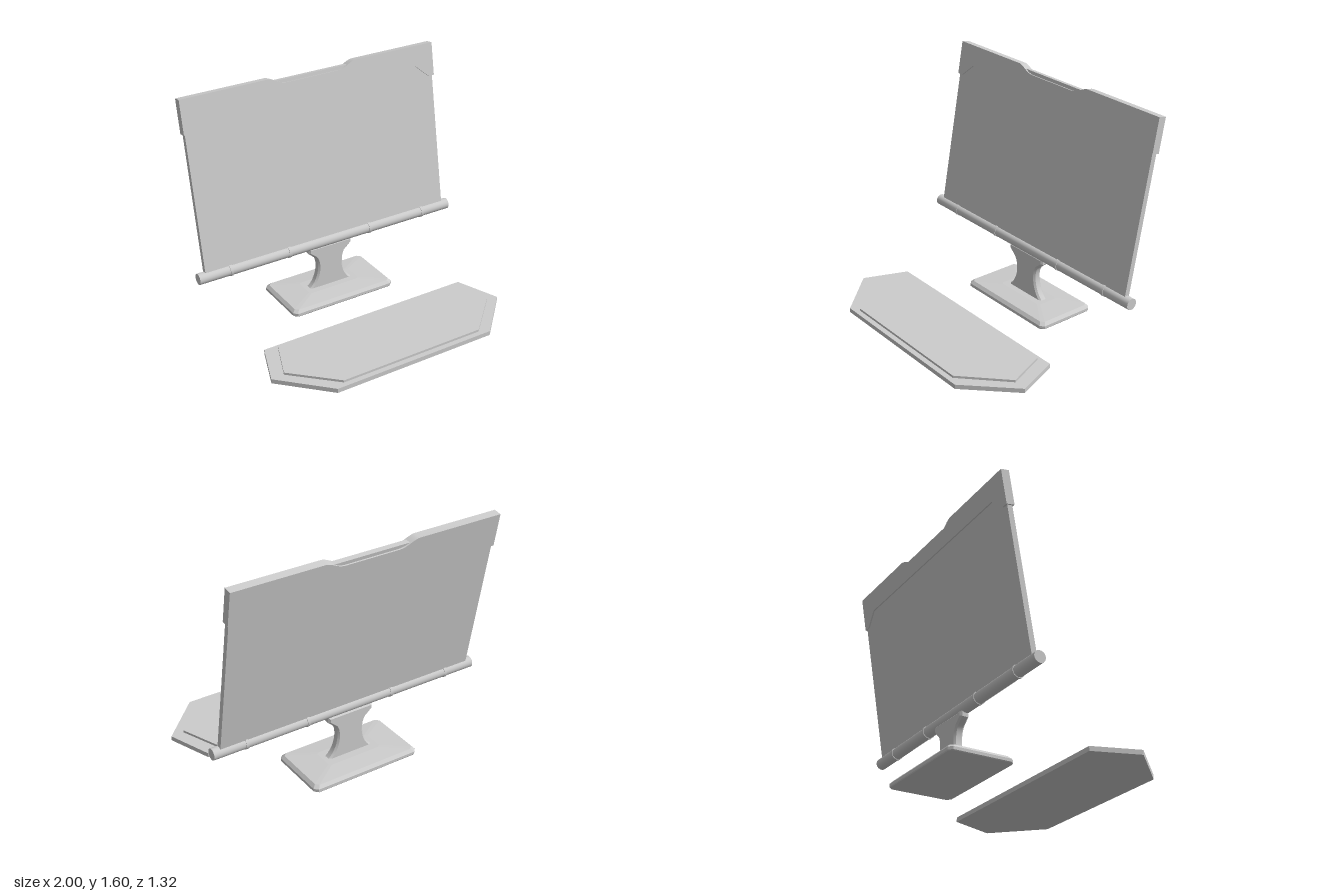
import * as THREE from 'three';
import { toCreasedNormals } from 'three/addons/utils/BufferGeometryUtils.js';

const grey = new THREE.MeshStandardMaterial({ color: 0xcccccc });

function add(parent, name, geometry, x = 0, y = 0, z = 0) {
  const mesh = new THREE.Mesh(geometry, grey);
  mesh.name = name;
  mesh.position.set(x, y, z);
  parent.add(mesh);
  return mesh;
}

// Closed solid through stacked rings; each ring is { y, points: [[x, z], ...] }, counter-clockwise from above
function loft(rings) {
  const pos = [];
  const at = (r, i) => {
    const [x, z] = r.points[i % r.points.length];
    return [x, r.y, z];
  };
  const n = rings[0].points.length;
  const bottom = rings[0], top = rings[rings.length - 1];
  for (let i = 0; i < n; i++) {
    for (let k = 0; k < rings.length - 1; k++) {
      const a = at(rings[k], i), b = at(rings[k], i + 1);
      const c = at(rings[k + 1], i + 1), d = at(rings[k + 1], i);
      pos.push(...a, ...b, ...c, ...a, ...c, ...d);
    }
    pos.push(0, top.y, 0, ...at(top, i), ...at(top, i + 1));
    pos.push(0, bottom.y, 0, ...at(bottom, i + 1), ...at(bottom, i));
  }
  const g = new THREE.BufferGeometry();
  g.setAttribute('position', new THREE.Float32BufferAttribute(pos, 3));
  g.computeVertexNormals();
  return g;
}

// Rectangle with cut corners
function cutRect(w, d, c) {
  return [[w, d - c], [w, c - d], [w - c, -d], [c - w, -d],
    [-w, c - d], [-w, d - c], [c - w, d], [w - c, d]];
}

// Six-sided pad outline, mirrored in x
function padOutline(back, side, front) {
  const half = [front, side, back];
  return [...half, ...half.map(([x, z]) => [-x, z]).reverse()];
}

// Prism centred on z, from a right-hand outline mirrored in x
function mirroredExtrude(half, depth, bevel = 0) {
  const pts = [...half, ...half.map((p) => new THREE.Vector2(-p.x, p.y)).reverse()];
  const g = new THREE.ExtrudeGeometry(new THREE.Shape(pts), {
    depth: depth - 2 * bevel, bevelEnabled: bevel > 0, bevelThickness: bevel,
    bevelSize: bevel, bevelOffset: -bevel, bevelSegments: 1,
  });
  g.translate(0, 0, bevel - depth / 2);
  return toCreasedNormals(g, 0.5);
}

const v = (x, y) => new THREE.Vector2(x, y);

export function createModel() {
  const model = new THREE.Group();
  model.name = 'displayWithControlPad';

  // Tilted screen, pivoting on the bar
  const screen = new THREE.Group();
  screen.name = 'screen';
  screen.position.set(0, 0.4, -0.428);
  screen.rotation.x = -0.172;
  model.add(screen);
  add(screen, 'screenPanel', new THREE.BoxGeometry(1.9, 1.19, 0.036), 0, 0.595, 0);

  // Top cap with lowered ends and a shallow central notch
  const notch = new THREE.CubicBezierCurve(v(0.33, 1.213), v(0.28, 1.205), v(0.25, 1.167), v(0.19, 1.167));
  const cap = [v(0.81, 1.07), v(0.915, 0.98), v(0.96, 0.98), v(0.96, 1.213), ...notch.getPoints(8)];
  add(screen, 'topCap', mirroredExtrude(cap, 0.056));

  // Round lower bar with thin joint rings
  const bar = add(model, 'lowerBar', new THREE.CylinderGeometry(0.039, 0.039, 2, 32), 0, 0.4, -0.428);
  bar.rotation.z = Math.PI / 2;
  for (const x of [-0.768, -0.322, 0.322, 0.768]) {
    const ring = add(model, 'barJoint', new THREE.CylinderGeometry(0.043, 0.043, 0.02, 32), x, 0.4, -0.428);
    ring.rotation.z = Math.PI / 2;
  }

  // Waisted neck
  const waist = new THREE.CubicBezierCurve(v(0.18, 0.045), v(0.08, 0.11), v(0.08, 0.27), v(0.13, 0.3));
  const neck = [...waist.getPoints(16), v(0.17, 0.335), v(0.17, 0.375)];
  add(model, 'neck', mirroredExtrude(neck, 0.06, 0.012), 0, 0, -0.435);

  // Foot with chamfered rim and gently rising top
  add(model, 'foot', loft([
    { y: 0, points: cutRect(0.395, 0.217, 0.025) },
    { y: 0.006, points: cutRect(0.4, 0.221, 0.025) },
    { y: 0.025, points: cutRect(0.4, 0.221, 0.025) },
    { y: 0.045, points: cutRect(0.38, 0.202, 0.022) },
    { y: 0.056, points: cutRect(0.2, 0.08, 0.015) },
  ]), 0, 0, -0.439);

  // Separate pad in front, with a raised inset plate
  const outer = padOutline([0.78, -0.305], [0.893, 0], [0.592, 0.308]);
  const inner = padOutline([0.695, -0.273], [0.803, 0], [0.525, 0.272]);
  add(model, 'padBase', loft([{ y: 0.008, points: outer }, { y: 0.039, points: outer }]), 0, 0, 0.352);
  add(model, 'padPlate', loft([{ y: 0.03, points: inner }, { y: 0.055, points: inner }]), 0, 0, 0.352);

  return model;
}
